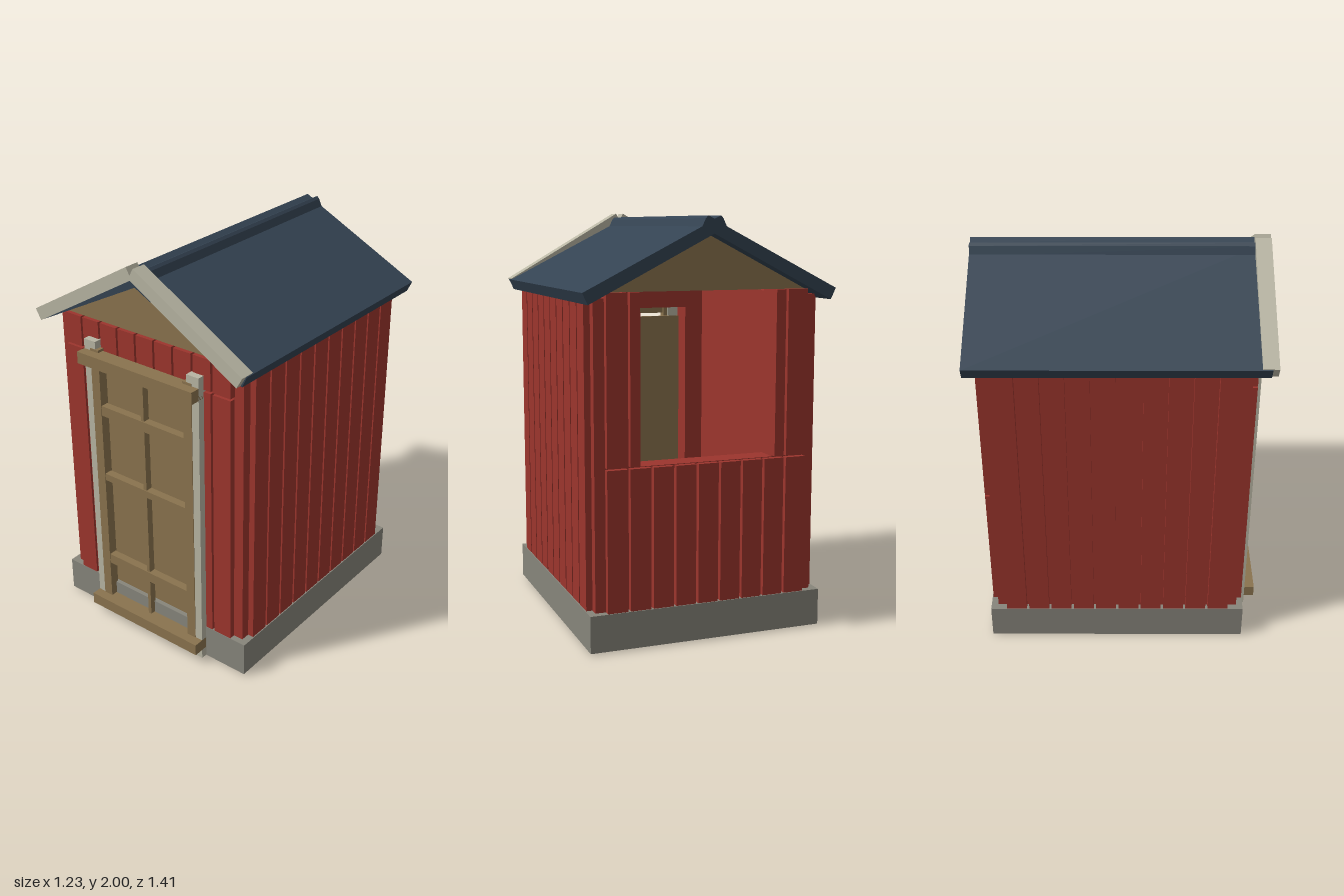
import * as THREE from 'three';

const paint = (name, color) => {
  const m = new THREE.MeshStandardMaterial({ color });
  m.name = name;
  return m;
};

export function createModel() {
  const red = paint('barn red', 0x9c352d);
  const navy = paint('roof navy', 0x344352);
  const tan = paint('door tan', 0x8a734e);
  const cream = paint('trim cream', 0xb8b5a3);
  const grey = paint('foundation grey', 0x87857b);
  const model = new THREE.Group();
  model.name = 'shed';

  const group = (name) => {
    const g = new THREE.Group();
    g.name = name;
    model.add(g);
    return g;
  };
  // Box given by its lower and upper limits on each axis
  const box = (parent, name, mat, x0, x1, y0, y1, z0, z1) => {
    const mesh = new THREE.Mesh(new THREE.BoxGeometry(x1 - x0, y1 - y0, z1 - z0), mat);
    mesh.position.set((x0 + x1) / 2, (y0 + y1) / 2, (z0 + z1) / 2);
    mesh.name = name;
    parent.add(mesh);
  };
  // Outline in x and y, extended from z0 to z1
  const prism = (parent, name, mat, pts, z0, z1) => {
    const shape = new THREE.Shape(pts.map(([x, y]) => new THREE.Vector2(x, y)));
    const geo = new THREE.ExtrudeGeometry(shape, { depth: z1 - z0, bevelEnabled: false });
    geo.translate(0, 0, z0);
    const mesh = new THREE.Mesh(geo, mat);
    mesh.name = name;
    parent.add(mesh);
  };
  // Same box on both sides of x = 0
  const pair = (parent, name, mat, x0, x1, ...rest) => {
    box(parent, name + 'Left', mat, x0, x1, ...rest);
    box(parent, name + 'Right', mat, -x1, -x0, ...rest);
  };

  // Foundation
  box(model, 'foundation', grey, -0.58, 0.58, 0.008, 0.185, -0.665, 0.622);

  // Wall cores, open at the door and above the back counter
  const walls = group('walls');
  pair(walls, 'sideWall', red, 0.435, 0.545, 0, 1.62, -0.63, 0.59);
  pair(walls, 'frontPier', red, 0.335, 0.436, 0, 1.645, 0.48, 0.59);
  pair(walls, 'backPier', red, 0.335, 0.436, 0, 1.645, -0.63, -0.52);
  box(walls, 'frontLintel', red, -0.335, 0.335, 1.49, 1.645, 0.48, 0.59);
  box(walls, 'frontSill', red, -0.335, 0.335, 0, 0.18, 0.48, 0.59);
  box(walls, 'backCounter', red, -0.335, 0.335, 0, 0.855, -0.63, -0.52);

  // Vertical cladding boards with narrow grooves
  const boards = group('claddingBoards');
  const gap = 0.006, open = 0.335;
  for (let i = 0; i < 10; i++) {
    const z = -0.59 + i * 0.114;
    pair(boards, 'sideBoard', red, 0.54, 0.575, 0.02, 1.61, z + gap, z + 0.114 - gap);
  }
  for (let i = 0; i < 9; i++) {
    const x0 = -0.5 + i / 9 + gap, x1 = -0.5 + (i + 1) / 9 - gap;
    box(boards, 'frontUpperBoard', red, x0, x1, 1.491, 1.645, 0.585, 0.62);
    box(boards, 'backLowerBoard', red, x0, x1, 0.02, 0.852, -0.66, -0.625);
    // Boards beside the openings are trimmed to the jambs
    const a = x0 > 0 ? Math.max(x0, open) : x0;
    const b = x0 > 0 ? x1 : Math.min(x1, -open);
    if (b - a < 0.01) continue;
    box(boards, 'frontLowerBoard', red, a, b, 0.02, 1.481, 0.585, 0.62);
    box(boards, 'backUpperBoard', red, a, b, 0.86, 1.645, -0.66, -0.625);
  }

  // Gable block, whose underside is the ceiling
  prism(model, 'gable', tan, [[-0.5, 1.645], [0.5, 1.645], [0, 1.902]], -0.62, 0.6);

  // Roof slopes and ridge cap
  const roof = group('roof');
  prism(roof, 'roofSlopes', navy, [
    [0, 1.9], [0.59, 1.597], [0.615, 1.65], [0, 1.962], [-0.615, 1.65], [-0.59, 1.597],
  ], -0.705, 0.665);
  prism(roof, 'ridgeCap', navy, [
    [0.062, 1.925], [0.042, 1.968], [0.03, 1.98], [0, 1.965],
    [-0.03, 1.98], [-0.042, 1.968], [-0.062, 1.925],
  ], -0.705, 0.64);
  for (const s of [1, -1]) {
    prism(roof, s > 0 ? 'bargeBoardLeft' : 'bargeBoardRight', cream, [
      [0.02 * s, 2], [0.613 * s, 1.655], [0.583 * s, 1.602], [-0.01 * s, 1.947],
    ], 0.62, 0.695);
  }

  // Door posts, lattice frame, recessed panel and cross bars
  const door = group('door');
  pair(door, 'doorPost', cream, 0.275, 0.345, 0.01, 1.56, 0.6, 0.655);
  pair(door, 'doorStile', tan, 0.255, 0.305, 0.05, 1.522, 0.61, 0.658);
  box(door, 'doorPanel', tan, -0.334, 0.334, 0.18, 1.435, 0.58, 0.6);
  box(door, 'doorMullion', tan, -0.009, 0.009, 0.1, 1.47, 0.615, 0.65);
  for (const [y0, y1] of [[0.325, 0.378], [0.82, 0.857], [1.18, 1.232]])
    box(door, 'doorRail', tan, -0.26, 0.26, y0, y1, 0.615, 0.655);
  for (const y of [0.06, 1.45])
    box(door, 'crossBar', tan, -0.345, 0.345, y, y + 0.06, 0.625, 0.705);

  return model;
}
